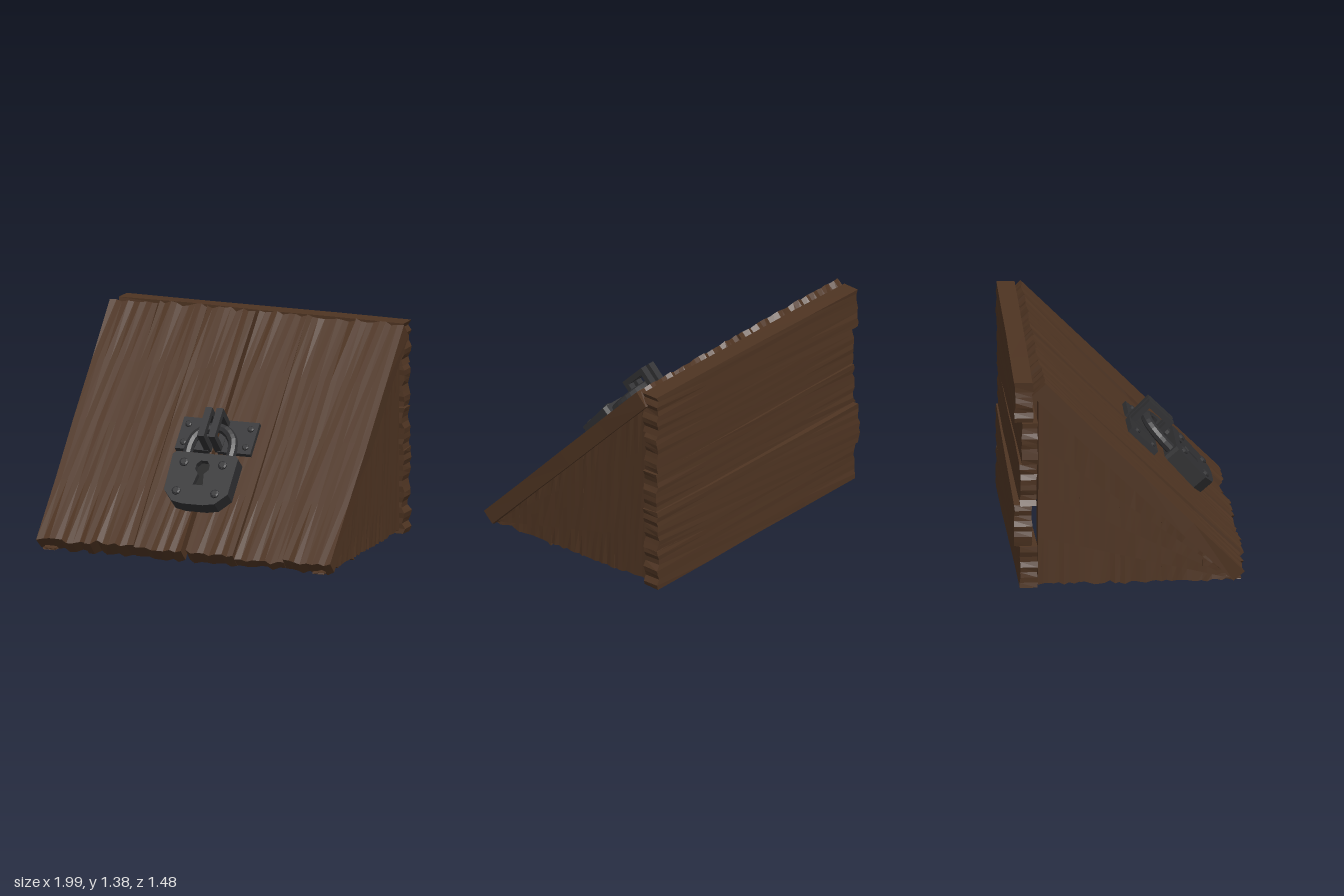
import * as THREE from 'three';

const wood = new THREE.MeshStandardMaterial({ color: 0x4e3422, flatShading: true });
const iron = new THREE.MeshStandardMaterial({ color: 0x303032, flatShading: true });
const dark = new THREE.MeshStandardMaterial({ color: 0x0a0a0a });

const noise = (n) => {
  const s = Math.sin(n * 12.9898 + 4.137) * 43758.5453;
  return s - Math.floor(s) - 0.5;
};

// Rough board: width along x, length along y, with ragged ends and uneven edges.
// wear thins the outer face towards the lower end.
function plankGeometry(w, l, t, seed, ragged, wear = 0) {
  const g = new THREE.BoxGeometry(w, l, t, 8, 4, 1);
  const p = g.attributes.position;
  for (let i = 0; i < p.count; i++) {
    const x = p.getX(i), y = p.getY(i), z = p.getZ(i);
    const col = Math.round((x / w + 0.5) * 8), row = Math.round((y / l + 0.5) * 4);
    const key = seed * 31 + col * 1.7 + row * 5.3 + (z > 0 ? 0.61 : 0);
    const atEnd = row === 0 || row === 4, atEdge = col === 0 || col === 8;
    p.setXYZ(i,
      x + (atEdge ? noise(key + 2) * 0.009 : 0),
      y + (atEnd ? noise(seed * 17 + col * 2.3 + row) * ragged + noise(key) * ragged * 0.3 : 0),
      z + noise(key + 9) * (atEnd ? 0.009 : 0.003) - (z > 0 ? wear * (0.5 - y / l) : 0));
  }
  return g;
}

function add(parent, name, geometry, material, x = 0, y = 0, z = 0) {
  geometry.computeVertexNormals();
  const m = new THREE.Mesh(geometry, material);
  m.name = name;
  m.position.set(x, y, z);
  parent.add(m);
  return m;
}

const polygon = (pts) => new THREE.Shape(pts.map(([x, y]) => new THREE.Vector2(x, y)));
const extrude = (shape, depth) =>
  new THREE.ExtrudeGeometry(shape, { depth, bevelEnabled: false });

// Domed rivet facing +z
function rivet(parent, x, y, z, r, h) {
  const profile = [[r, 0], [r, h * 0.6], [r * 0.65, h], [0, h]].map(([a, b]) => new THREE.Vector2(a, b));
  add(parent, 'rivet', new THREE.LatheGeometry(profile, 8).rotateX(Math.PI / 2), iron, x, y, z);
}

function buildPadlock() {
  const lock = new THREE.Group();
  lock.name = 'padlock';
  const outline = [[-0.2, 0.185], [0.2, 0.185], [0.22, 0.165], [0.215, -0.09],
    [0.145, -0.165], [0.07, -0.18], [-0.07, -0.18], [-0.145, -0.165], [-0.215, -0.09], [-0.22, 0.165]].reverse();
  const keyhole = [[-0.034, -0.04], [0.034, -0.04], [0.02, 0.04], [0.045, 0.07], [0.045, 0.105],
    [0.022, 0.132], [-0.022, 0.132], [-0.045, 0.105], [-0.045, 0.07], [-0.02, 0.04]];
  const front = polygon(outline);
  front.holes.push(polygon(keyhole));
  add(lock, 'lockFront', extrude(front, 0.04), iron, 0, 0, 0.01);
  add(lock, 'lockBack', extrude(polygon(outline), 0.06), iron, 0, 0, -0.05);
  add(lock, 'keyhole', new THREE.ShapeGeometry(polygon(keyhole)), dark, 0, 0, 0.012);
  for (const x of [-0.13, 0.13]) for (const y of [-0.095, 0.11]) rivet(lock, x, y, 0.05, 0.029, 0.017);

  // Shackle: two legs joined by a rounded arch
  const path = new THREE.CurvePath();
  const r = 0.145, arc = [];
  for (let i = 0; i <= 8; i++) {
    const a = Math.PI * (1 - i / 8);
    arc.push(new THREE.Vector3(r * Math.cos(a), 0.255 + r * Math.sin(a), 0));
  }
  const pts = [new THREE.Vector3(-r, 0.15, 0), ...arc, new THREE.Vector3(r, 0.15, 0)];
  for (let i = 1; i < pts.length; i++) path.add(new THREE.LineCurve3(pts[i - 1], pts[i]));
  add(lock, 'shackle', new THREE.TubeGeometry(path, 20, 0.033, 8), iron);
  return lock;
}

export function createModel() {
  const model = new THREE.Group();
  model.name = 'cellarHatch';

  // Sloping double doors: local y runs up the slope, local z points outward
  const doors = new THREE.Group();
  doors.name = 'doors';
  doors.rotation.x = -Math.PI / 4;
  model.add(doors);
  const wear = [0.015, -0.008, 0.01, 0.005, 0.045, 0.015];
  [-0.821, -0.495, -0.171, 0.182, 0.506, 0.834].forEach((x, i) => {
    const g = plankGeometry(0.326, 1.795, 0.113, i + 1, 0.03, wear[i]);
    add(doors, 'doorPlank', g, wood, x, 0.462, 0.525);
  });

  // Hasp plates with square staples, one on each door
  for (const s of [-1, 1]) {
    const hasp = new THREE.Group();
    hasp.name = s < 0 ? 'rightHasp' : 'leftHasp';
    hasp.position.set(0.01, 0, 0);
    add(hasp, 'haspPlate', new THREE.BoxGeometry(0.225, 0.235, 0.04), iron, s * 0.142, 0.41, 0.59);
    for (const y of [0.34, 0.475]) rivet(hasp, s * 0.21, y, 0.61, 0.022, 0.014);
    const frame = polygon([[0.297, 0.59], [0.513, 0.59], [0.513, 0.776], [0.297, 0.776]]);
    frame.holes.push(polygon([[0.333, 0.615], [0.333, 0.74], [0.477, 0.74], [0.477, 0.615]]));
    // shape (v, n) turned into the local yz plane
    const g = extrude(frame, 0.045);
    g.applyMatrix4(new THREE.Matrix4().set(0, 0, 1, 0, 1, 0, 0, 0, 0, 1, 0, 0, 0, 0, 0, 1));
    add(hasp, 'staple', g, iron, s * 0.037 - 0.0225, 0, 0);
    doors.add(hasp);
  }

  const lock = buildPadlock();
  lock.position.set(0.017, 0.034, 0.642);
  lock.rotation.x = 0.07;
  doors.add(lock);

  // Triangular side walls of upright planks cut along the slope
  const zs = [-0.585, -0.325, -0.07, 0.19, 0.45, 0.69];
  for (const s of [-1, 1]) {
    for (let k = 0; k < 5; k++) {
      const w = zs[k + 1] - zs[k] + 0.002, mid = (zs[k] + zs[k + 1]) / 2;
      const g = plankGeometry(w, 1, 0.08, 60 + k + s * 7, 0.02 / (0.66 - mid));
      g.rotateY(s * Math.PI / 2);
      const p = g.attributes.position;
      for (let i = 0; i < p.count; i++) {
        const height = Math.max(0.68 - (p.getZ(i) + mid) - 0.025, 0.012);
        p.setY(i, Math.max(0.008, 0.025 + (p.getY(i) + 0.5) * height));
      }
      add(model, s < 0 ? 'rightWallPlank' : 'leftWallPlank', g, wood, s * 0.91, 0, mid);
    }
  }

  // Back wall of horizontal planks, some set slightly askew: turn, thickness, centre z
  [[0.002, 0.11, -0.647], [-0.018, 0.112, -0.664], [-0.003, 0.105, -0.645],
    [0.004, 0.1, -0.643], [-0.017, 0.115, -0.66]].forEach(([turn, t, z], i) => {
    const g = plankGeometry(0.272, 1.935, t, 90 + i, 0.025).rotateZ(Math.PI / 2);
    add(model, 'backPlank', g, wood, 0.008, 0.142 + i * 0.273, z).rotation.y = turn;
  });
  return model;
}
